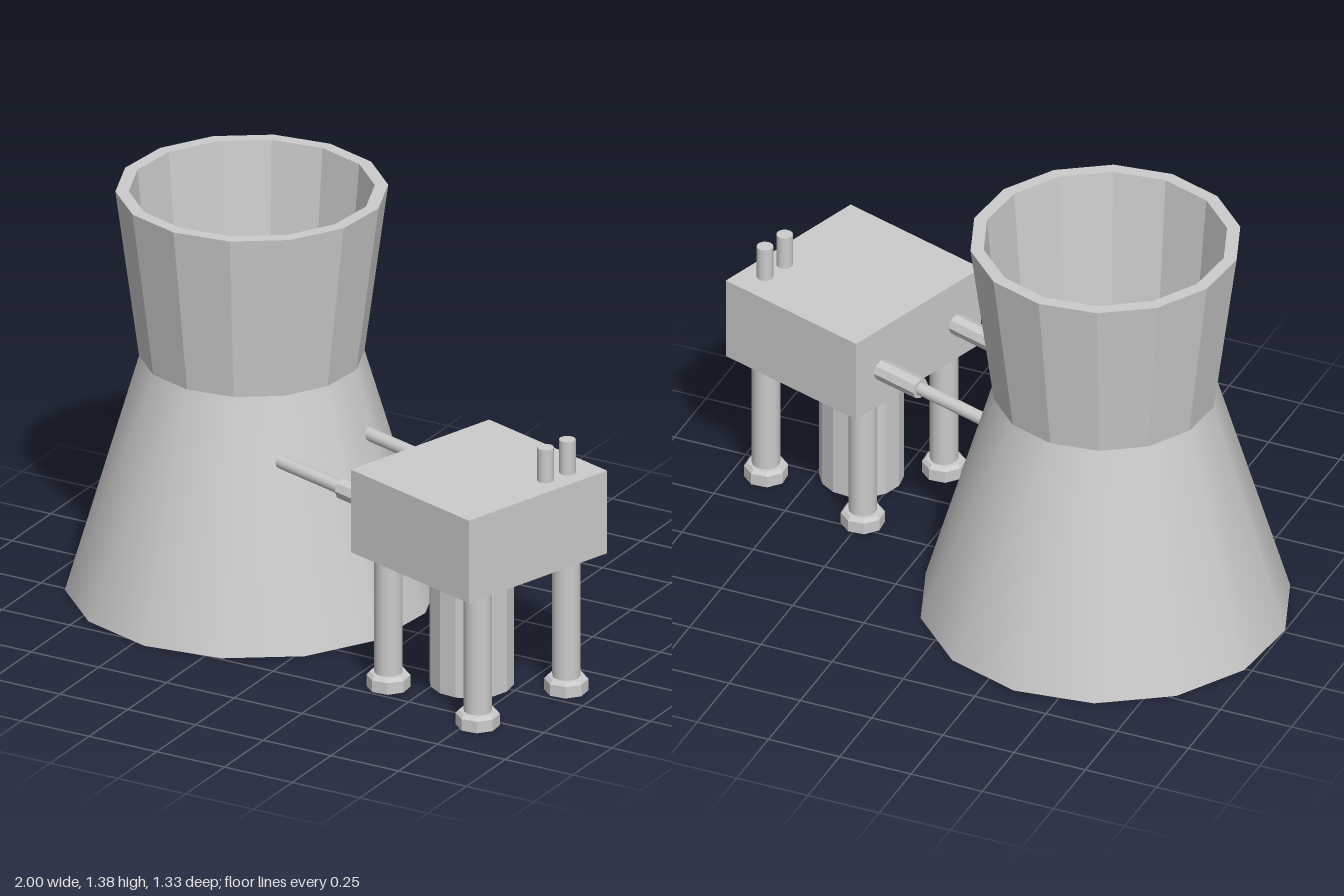
import * as THREE from 'three';

const smooth = new THREE.MeshStandardMaterial({ color: 0xcccccc });
const flat = new THREE.MeshStandardMaterial({ color: 0xcccccc, flatShading: true });

function add(parent, name, geometry, material, x = 0, y = 0, z = 0) {
  const mesh = new THREE.Mesh(geometry, material);
  mesh.name = name;
  mesh.position.set(x, y, z);
  parent.add(mesh);
  return mesh;
}

// Upright cylinder given by its bottom and top heights
function post(parent, name, radius, bottom, top, sides, material, x, z) {
  const g = new THREE.CylinderGeometry(radius, radius, top - bottom, sides);
  return add(parent, name, g, material, x, (bottom + top) / 2, z);
}

// Horizontal rod along x
function rod(parent, name, radius, x0, x1, sides, material, y, z) {
  const g = new THREE.CylinderGeometry(radius, radius, x1 - x0, sides);
  g.rotateZ(Math.PI / 2);
  return add(parent, name, g, material, (x0 + x1) / 2, y, z);
}

function lathe(points, sides) {
  return new THREE.LatheGeometry(points.map(([r, y]) => new THREE.Vector2(r, y)), sides);
}

function createTower() {
  const tower = new THREE.Group();
  tower.name = 'coolingTower';
  tower.position.set(-0.405, 0, -0.07);
  tower.rotation.y = -0.09;
  const sides = 14;

  // Solid flared base, its top forming the floor of the throat
  add(tower, 'towerBase', new THREE.CylinderGeometry(0.362, 0.6, 0.81, sides), smooth, 0, 0.405, 0);

  // Hollow upper flare: outer wall, rim, inner wall
  add(tower, 'towerThroat', lathe([[0.362, 0.81], [0.438, 1.385], [0.395, 1.385], [0.345, 0.81]], sides), flat);
  return tower;
}

function createReactor() {
  const reactor = new THREE.Group();
  reactor.name = 'machineUnit';
  reactor.position.set(0.64, 0, 0.29);
  reactor.rotation.y = -0.31;

  // Main housing
  add(reactor, 'housing', new THREE.BoxGeometry(0.56, 0.288, 0.6), flat, 0, 0.616, 0);

  // Legs with chamfered octagonal feet
  const legs = [[0.2, -0.196], [0.216, 0.203], [-0.207, 0.204], [-0.215, -0.195]];
  for (const [x, z] of legs) {
    post(reactor, 'leg', 0.046, 0.03, 0.48, 14, smooth, x, z);
    add(reactor, 'foot', lathe([[0, 0], [0.071, 0], [0.071, 0.04], [0.06, 0.052], [0, 0.052]], 8), flat, x, 0, z);
  }

  // Open tube hanging under the housing
  add(reactor, 'drainTube', lathe([[0.098, 0.475], [0.098, 0.01], [0.137, 0.01], [0.137, 0.475]], 14), flat, -0.035, 0, 0);

  // Pair of pipes running into the tower, each with a sleeve at the housing
  for (const z of [-0.18, 0.18]) {
    rod(reactor, 'pipe', 0.022, -0.745, -0.27, 12, smooth, 0.605, z);
    rod(reactor, 'pipeSleeve', 0.035, -0.45, -0.27, 8, flat, 0.605, z);
  }

  // Two short vents on the roof
  for (const z of [-0.198, -0.103]) {
    post(reactor, 'vent', 0.027, 0.74, 0.875, 14, smooth, 0.203, z);
  }
  return reactor;
}

export function createModel() {
  const model = new THREE.Group();
  model.name = 'coolingTowerPlant';
  model.add(createTower(), createReactor());
  return model;
}
